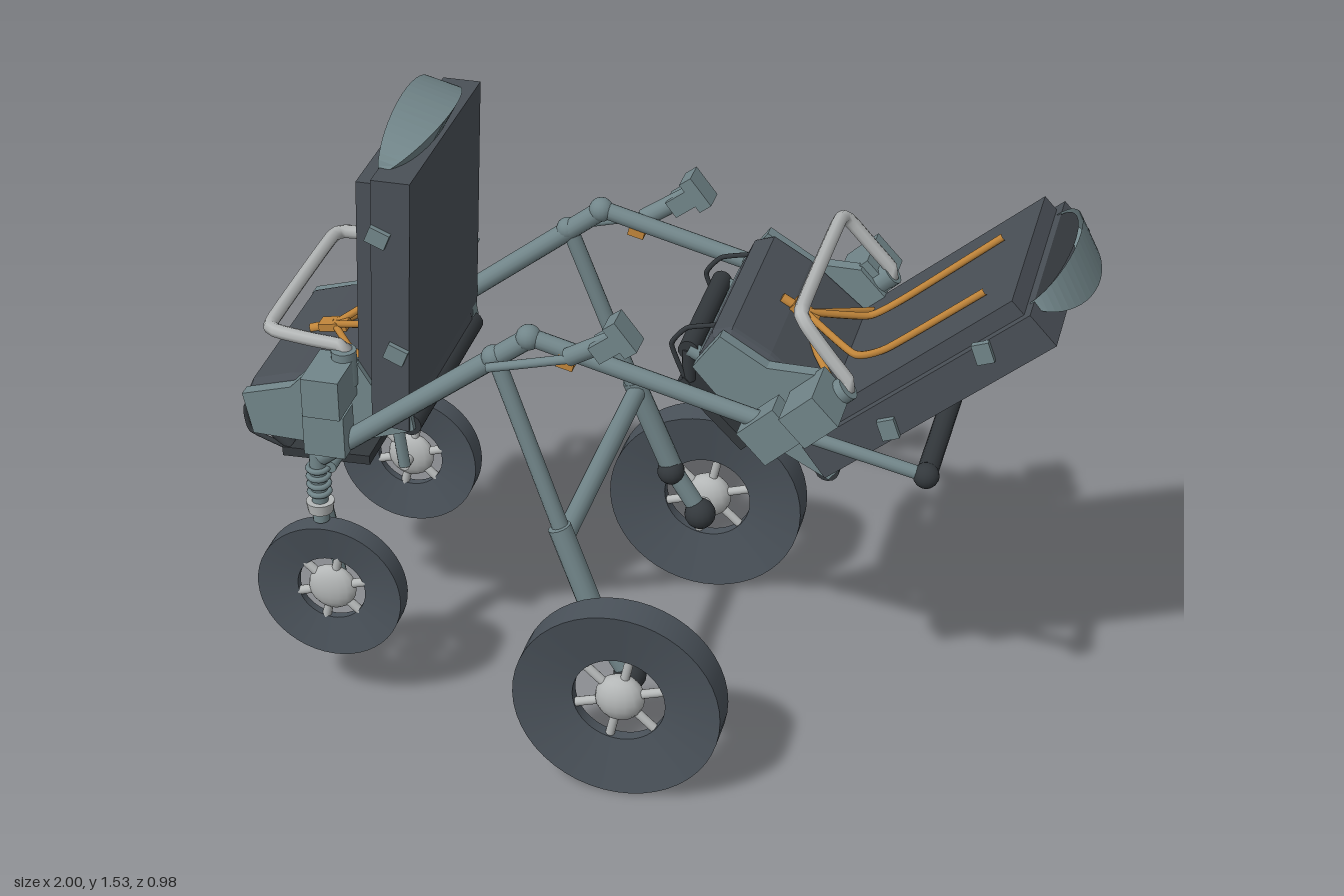
import * as THREE from 'three';

const mat = (name, color, side = THREE.FrontSide) => {
  const m = new THREE.MeshStandardMaterial({ color, side });
  m.name = name;
  return m;
};
const V = (x, y, z) => new THREE.Vector3(x, y, z);

export function createModel() {
  const frameGrey = mat('frameGrey', 0x72868a);
  const hoodGrey = mat('hoodGrey', 0x72868a, THREE.DoubleSide);
  const fabric = mat('darkFabric', 0x4a5057);
  const tyre = mat('tyreRubber', 0x4a525a);
  const metal = mat('lightMetal', 0xb4b7b7);
  const strap = mat('orangeStrap', 0xc0853a);
  const black = mat('blackPlastic', 0x33383c);

  const add = (parent, name, geo, material, p = [0, 0, 0]) => {
    const m = new THREE.Mesh(geo, material);
    m.name = name;
    m.position.set(...p);
    parent.add(m);
    return m;
  };
  const box = (parent, name, size, p, material, tilt = 0) => {
    const m = add(parent, name, new THREE.BoxGeometry(...size), material, p);
    m.rotation.z = tilt;
    return m;
  };
  const ball = (parent, name, r, p, material) =>
    add(parent, name, new THREE.SphereGeometry(r, 16, 10), material, p);
  // Straight round bar between two points
  const bar = (parent, name, a, b, r, material, r2 = r) => {
    const A = V(...a), B = V(...b), d = B.clone().sub(A);
    const m = add(parent, name, new THREE.CylinderGeometry(r2, r, d.length(), 14), material);
    m.position.copy(A).add(B).multiplyScalar(0.5);
    m.quaternion.setFromUnitVectors(V(0, 1, 0), d.normalize());
    return m;
  };
  // Bent tube through points, with tight corners
  const tube = (parent, name, pts, r, material) => {
    const c = new THREE.CatmullRomCurve3(pts.map(p => V(...p)), false, 'catmullrom', 0.25);
    return add(parent, name, new THREE.TubeGeometry(c, 48, r, 8), material);
  };
  // Side profile in x,y swept over z
  const slab = (parent, name, pts, z0, z1, material, bevel = 0) => {
    const s = new THREE.Shape(pts.map(p => new THREE.Vector2(...p)));
    const g = new THREE.ExtrudeGeometry(s, {
      depth: z1 - z0 - 2 * bevel, bevelEnabled: bevel > 0, bevelSize: bevel,
      bevelThickness: bevel, bevelOffset: -bevel, bevelSegments: 3,
    });
    return add(parent, name, g, material, [0, 0, z0 + bevel]);
  };

  const model = new THREE.Group();
  model.name = 'twinStroller';

  // Dished wheel with spokes and a rounded hub
  const wheel = (name, x, y, z, R, hole, half) => {
    const g = new THREE.Group();
    g.name = name;
    g.position.set(x, y, z);
    const prof = [[hole, -half * 0.35], [R, -half], [R, half], [hole, half * 0.35], [hole, -half * 0.35]];
    // repeated corners keep the tread edges sharp
    for (let i = 0; i < 4; i++) {
      const pts = [prof[i], prof[i + 1]].map(p => new THREE.Vector2(...p));
      add(g, 'tyre', new THREE.LatheGeometry(pts, 48), tyre).rotation.x = Math.PI / 2;
    }
    ball(g, 'hub', 0.06, [0, 0, 0], metal).scale.z = Math.min(1, half / 0.06);
    for (let i = 0; i < 6; i++) {
      const a = i * Math.PI / 3 + 0.3;
      const c = Math.cos(a), s = Math.sin(a), q = hole + 0.008;
      bar(g, 'spoke', [c * 0.04, s * 0.04, 0], [c * q, s * q, 0], 0.011, metal);
    }
    model.add(g);
  };

  // Frame, wheels and suspension on both sides
  for (const s of [1, -1]) {
    const z = s * 0.315;
    wheel('rearWheel', 0, 0.25, s * 0.447, 0.25, 0.112, 0.042);
    wheel('frontWheel', -0.75, 0.345, s * 0.307, 0.18, 0.085, 0.028);

    bar(model, 'frontRail', [-0.76, 0.71, s * 0.3], [-0.24, 1.11, z], 0.024, frameGrey);
    bar(model, 'topRail', [-0.24, 1.115, z], [0.33, 0.965, z], 0.021, frameGrey);
    bar(model, 'handleRail', [0.33, 0.965, z], [0.67, 0.87, s * 0.29], 0.016, frameGrey);
    ball(model, 'railJoint', 0.03, [-0.24, 1.113, z], frameGrey);
    ball(model, 'legJoint', 0.028, [-0.325, 1.05, z], frameGrey);
    ball(model, 'handleEnd', 0.03, [0.67, 0.87, s * 0.29], black);
    bar(model, 'rearLeg', [-0.32, 1.05, z], [-0.16, 0.6, s * 0.335], 0.02, frameGrey);
    bar(model, 'lowerLeg', [-0.17, 0.63, s * 0.34], [-0.075, 0.38, s * 0.355], 0.028, frameGrey);
    bar(model, 'axleArm', [-0.09, 0.40, s * 0.355], [0, 0.25, s * 0.36], 0.024, frameGrey);
    ball(model, 'armJoint', 0.035, [-0.075, 0.37, s * 0.35], black);
    ball(model, 'axleJoint', 0.04, [0, 0.25, s * 0.355], black);
    bar(model, 'rearAxle', [0, 0.25, s * 0.34], [0, 0.25, s * 0.44], 0.016, metal);
    box(model, 'legClip', [0.04, 0.035, 0.03], [-0.15, 1.07, s * 0.32], strap, -0.25);

    // Folding latch above the frame
    bar(model, 'latchArm', [-0.14, 1.09, s * 0.34], [-0.03, 1.16, s * 0.355], 0.022, frameGrey);
    box(model, 'latchBlock', [0.075, 0.045, 0.065], [-0.04, 1.15, s * 0.355], frameGrey, 0.65);
    box(model, 'latchHead', [0.035, 0.085, 0.065], [-0.01, 1.175, s * 0.355], frameGrey, 0.65);
    bar(model, 'foldLink', [-0.33, 1.04, s * 0.35], [-0.14, 1.09, s * 0.35], 0.011, frameGrey);

    // Front suspension
    bar(model, 'frontPost', [-0.77, 0.74, s * 0.3], [-0.77, 0.53, s * 0.3], 0.02, frameGrey);
    for (let i = 0; i < 4; i++) {
      const ring = add(model, 'springRing', new THREE.TorusGeometry(0.024, 0.007, 6, 16), frameGrey,
        [-0.77, 0.61 + i * 0.022, s * 0.3]);
      ring.rotation.x = Math.PI / 2;
    }
    add(model, 'springCollar', new THREE.CylinderGeometry(0.034, 0.03, 0.028, 16), metal, [-0.77, 0.57, s * 0.3]);
    tube(model, 'frontFork', [[-0.77, 0.55, s * 0.3], [-0.77, 0.535, s * 0.26],
      [-0.765, 0.48, s * 0.25], [-0.75, 0.345, s * 0.25]], 0.016, frameGrey);
    bar(model, 'frontAxle', [-0.75, 0.345, s * 0.245], [-0.75, 0.345, s * 0.31], 0.014, metal);
  }
  bar(model, 'rearCrossBar', [-0.16, 0.6, -0.34], [-0.16, 0.6, 0.34], 0.024, frameGrey);
  bar(model, 'frontCrossBar', [-0.74, 0.68, -0.3], [-0.74, 0.68, 0.3], 0.015, frameGrey);
  bar(model, 'pushHandle', [0.67, 0.87, -0.29], [0.67, 0.87, 0.29], 0.024, black);

  // Curved hood folded behind the backrest, lofted from cross-sections
  const hoodGeometry = () => {
    const n = 24, pos = [], idx = [];
    for (let i = 0; i <= n; i++) {
      const a = (i / n - 0.5) * Math.PI, c = Math.cos(a), s = Math.sin(a);
      pos.push(-0.615, 1.43 + 0.105 * c, 0.21 * s, -0.6 + 0.1 * c, 1.43 + 0.07 * c, 0.215 * s,
        -0.6 + 0.06 * c, 1.425, 0.2 * s);
      if (i < n) for (let k = 0; k < 2; k++) {
        const p = i * 3 + k;
        idx.push(p, p + 1, p + 3, p + 1, p + 4, p + 3);
      }
    }
    const g = new THREE.BufferGeometry();
    g.setAttribute('position', new THREE.Float32BufferAttribute(pos, 3));
    g.setIndex(idx);
    const flat = g.toNonIndexed();
    flat.computeVertexNormals();
    return flat;
  };

  // One seat, shaped upright around its hinge, then placed and tilted
  const hinge = [-0.727, 0.925];
  const seat = (name, x, y, tilt) => {
    const outer = new THREE.Group(), g = new THREE.Group();
    outer.name = name;
    g.name = name + 'Parts';
    outer.position.set(x, y, 0);
    outer.rotation.z = tilt;
    g.position.set(-hinge[0], -hinge[1], 0);
    outer.add(g);
    model.add(outer);

    slab(g, 'backrestShell', [[-0.64, 0.8], [-0.55, 0.79], [-0.52, 1.44], [-0.612, 1.44]], -0.272, 0.272, fabric);
    slab(g, 'backrestPad', [[-0.675, 0.88], [-0.63, 0.88], [-0.61, 1.42], [-0.655, 1.42]], -0.25, 0.25, fabric);
    add(g, 'hood', hoodGeometry(), hoodGrey);
    const lining = new THREE.Shape();
    lining.absellipse(0, 1.43, 0.205, 0.09, 0, Math.PI);
    add(g, 'hoodLining', new THREE.ShapeGeometry(lining, 20), black, [-0.612, 0, 0]).rotation.y = -Math.PI / 2;

    slab(g, 'seatCushion', [[-0.97, 0.8], [-0.95, 0.845], [-0.85, 0.875], [-0.64, 0.9], [-0.55, 0.86],
      [-0.54, 0.79], [-0.66, 0.755], [-0.78, 0.725], [-0.94, 0.73]], -0.235, 0.235, fabric, 0.02);
    bar(g, 'hingeRoll', [-0.555, 0.795, -0.25], [-0.555, 0.795, 0.25], 0.028, black);
    slab(g, 'bellyPanel', [[-0.94, 0.725], [-0.78, 0.72], [-0.66, 0.75], [-0.66, 0.765], [-0.94, 0.745]],
      -0.2, 0.2, frameGrey);

    for (const s of [1, -1]) {
      const z0 = s > 0 ? 0.232 : -0.265;
      slab(g, 'seatSide', [[-0.962, 0.83], [-0.84, 0.865], [-0.76, 0.95], [-0.67, 0.95], [-0.64, 0.9],
        [-0.55, 0.86], [-0.54, 0.79], [-0.67, 0.745], [-0.78, 0.72], [-0.94, 0.725]], z0, z0 + 0.033, frameGrey);
      // Mount that plugs the seat onto the frame
      box(g, 'seatMount', [0.09, 0.1, 0.14], [-0.72, 0.92, s * 0.32], frameGrey);
      box(g, 'mountFoot', [0.1, 0.11, 0.07], [-0.73, 0.8, s * 0.32], frameGrey);
      bar(g, 'mountKnob', [-0.7, 0.99, s * 0.27], [-0.7, 0.9, s * 0.27], 0.03, frameGrey);
      box(g, 'backClip', [0.05, 0.04, 0.015], [-0.6, 1.3, s * 0.278], frameGrey, -0.4);
      box(g, 'backClip', [0.05, 0.04, 0.015], [-0.57, 1.0, s * 0.278], frameGrey, -0.4);

      // Harness straps
      tube(g, 'shoulderStrap', [[-0.667, 1.33, s * 0.13], [-0.678, 1.05, s * 0.12],
        [-0.7, 0.96, s * 0.09], [-0.82, 0.89, 0]], 0.009, strap);
      tube(g, 'waistStrap', [[-0.67, 0.92, s * 0.2], [-0.75, 0.895, s * 0.1], [-0.82, 0.888, 0]], 0.009, strap);
      // Wire to the foot plate
      tube(g, 'footWire', [[-0.95, 0.81, s * 0.17], [-0.995, 0.73, s * 0.17], [-0.985, 0.67, s * 0.17],
        [-0.9, 0.635, s * 0.17]], 0.006, black);
      bar(g, 'footLink', [-0.86, 0.73, s * 0.16], [-0.95, 0.69, s * 0.16], 0.018, frameGrey);
      bar(g, 'footLink', [-0.95, 0.69, s * 0.16], [-0.89, 0.635, s * 0.16], 0.016, black);
    }
    box(g, 'buckle', [0.07, 0.02, 0.04], [-0.82, 0.89, 0], strap, 0.15);
    bar(g, 'crotchStrap', [-0.88, 0.87, 0], [-0.82, 0.89, 0], 0.012, strap);
    box(g, 'footPlate', [0.22, 0.024, 0.36], [-0.795, 0.63, 0], black, 0.03);
    bar(g, 'footHinge', [-0.95, 0.69, -0.17], [-0.95, 0.69, 0.17], 0.024, black);

    // Bumper bar
    tube(g, 'bumperBar', [[-0.7, 0.95, -0.265], [-0.7, 0.995, -0.265], [-0.78, 1.0, -0.26], [-0.87, 1.005, -0.25],
      [-0.895, 1.005, -0.21], [-0.895, 1.005, 0.21], [-0.87, 1.005, 0.25], [-0.78, 1.0, 0.26],
      [-0.7, 0.995, 0.265], [-0.7, 0.95, 0.265]], 0.017, metal);
  };
  seat('frontSeat', hinge[0], hinge[1], 0);
  seat('rearSeat', 0.417, 1.037, -0.83);

  return model;
}
